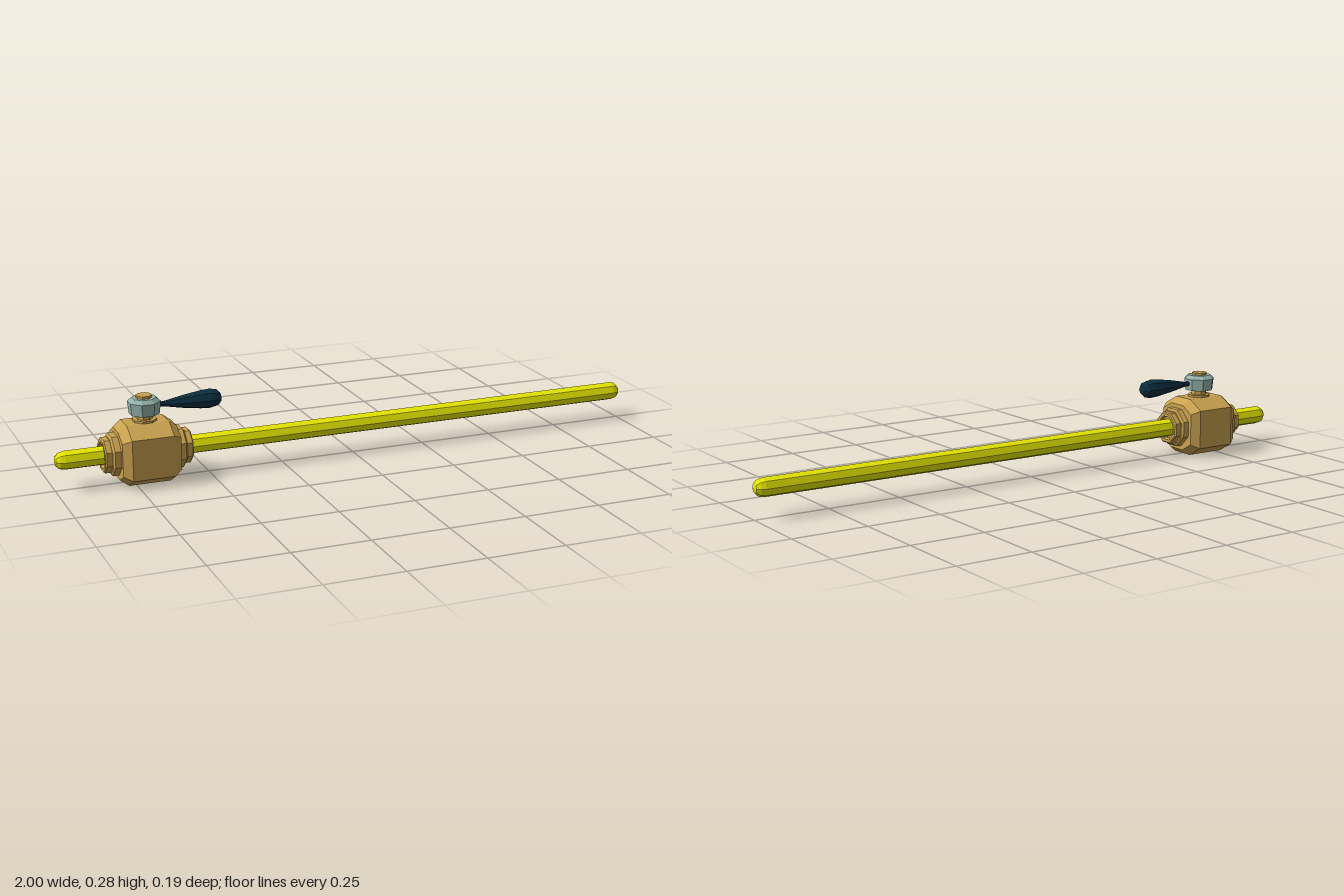
import * as THREE from 'three';
import { ConvexGeometry } from 'three/addons/geometries/ConvexGeometry.js';

const VALVE_X = -0.706, AXIS_Y = 0.098;

const paint = (color) => new THREE.MeshStandardMaterial({ color, flatShading: true });

// Eight-sided turned part; points are [radius, height]. With flats, radii are measured to the flats.
function turned(points, flats = true) {
  const k = flats ? 1 / Math.cos(Math.PI / 8) : 1;
  const profile = points.map(([r, h]) => new THREE.Vector2(r * k, h));
  return new THREE.LatheGeometry(profile, 8, flats ? Math.PI / 8 : 0);
}

export function createModel() {
  const group = new THREE.Group();
  const brass = paint(0xc9a24f);
  const yellow = paint(0xe8e800);
  const steel = paint(0x93b3aa);
  const navy = paint(0x0c2f40);

  const add = (name, geometry, material, x, y) => {
    const mesh = new THREE.Mesh(geometry, material);
    mesh.name = name;
    mesh.position.set(x, y, 0);
    group.add(mesh);
    return mesh;
  };

  // Long pipe with rounded ends
  const pipe = [];
  const r = 0.031, half = 1 - r;
  for (let i = 0; i <= 3; i++) {
    const a = (i / 3) * Math.PI / 2;
    pipe.push([r * Math.sin(a), -half - r * Math.cos(a)]);
  }
  for (let i = 3; i >= 0; i--) {
    const a = (i / 3) * Math.PI / 2;
    pipe.push([r * Math.sin(a), half + r * Math.cos(a)]);
  }
  add('pipe', turned(pipe, false), yellow, 0, AXIS_Y).rotation.z = -Math.PI / 2;

  // Eight-sided valve body with bevelled ends
  const corners = [];
  for (const [x, s] of [[0.068, 1], [0.095, 0.8]]) {
    for (const sx of [-1, 1]) for (const sy of [-1, 1]) for (const sz of [-1, 1]) {
      for (const [y, z] of [[0.098, 0.04], [0.066, 0.096]]) {
        corners.push(new THREE.Vector3(sx * x, sy * y * s, sz * z * s));
      }
    }
  }
  add('valveBody', new ConvexGeometry(corners), brass, VALVE_X, AXIS_Y);

  // Stepped collars on both ends of the body
  const collar = turned([
    [0.064, 0.085], [0.064, 0.115], [0.057, 0.121], [0.053, 0.121],
    [0.053, 0.139], [0.049, 0.143], [0.04, 0.143], [0.036, 0.132], [0.027, 0.132],
  ]);
  for (const side of [-1, 1]) {
    add(side < 0 ? 'rightCollar' : 'leftCollar', collar, brass, VALVE_X, AXIS_Y)
      .rotation.z = -side * Math.PI / 2;
  }

  // Stem with its foot flange
  add('stem', turned([
    [0, 0.185], [0.036, 0.185], [0.036, 0.203], [0.024, 0.203], [0.024, 0.28], [0, 0.28],
  ]), brass, VALVE_X, 0);

  // Bevelled nut around the stem
  add('nut', turned([
    [0.02, 0.22], [0.045, 0.22], [0.049, 0.26], [0.036, 0.272], [0.02, 0.272],
  ]), steel, VALVE_X, 0);

  // Club-shaped lever grip
  add('handle', turned([
    [0, 0.03], [0.007, 0.035], [0.009, 0.065], [0.021, 0.125], [0.03, 0.185],
    [0.032, 0.215], [0.027, 0.238], [0.015, 0.25], [0, 0.253],
  ], false), navy, VALVE_X, 0.243).rotation.z = -Math.PI / 2;

  return group;
}
